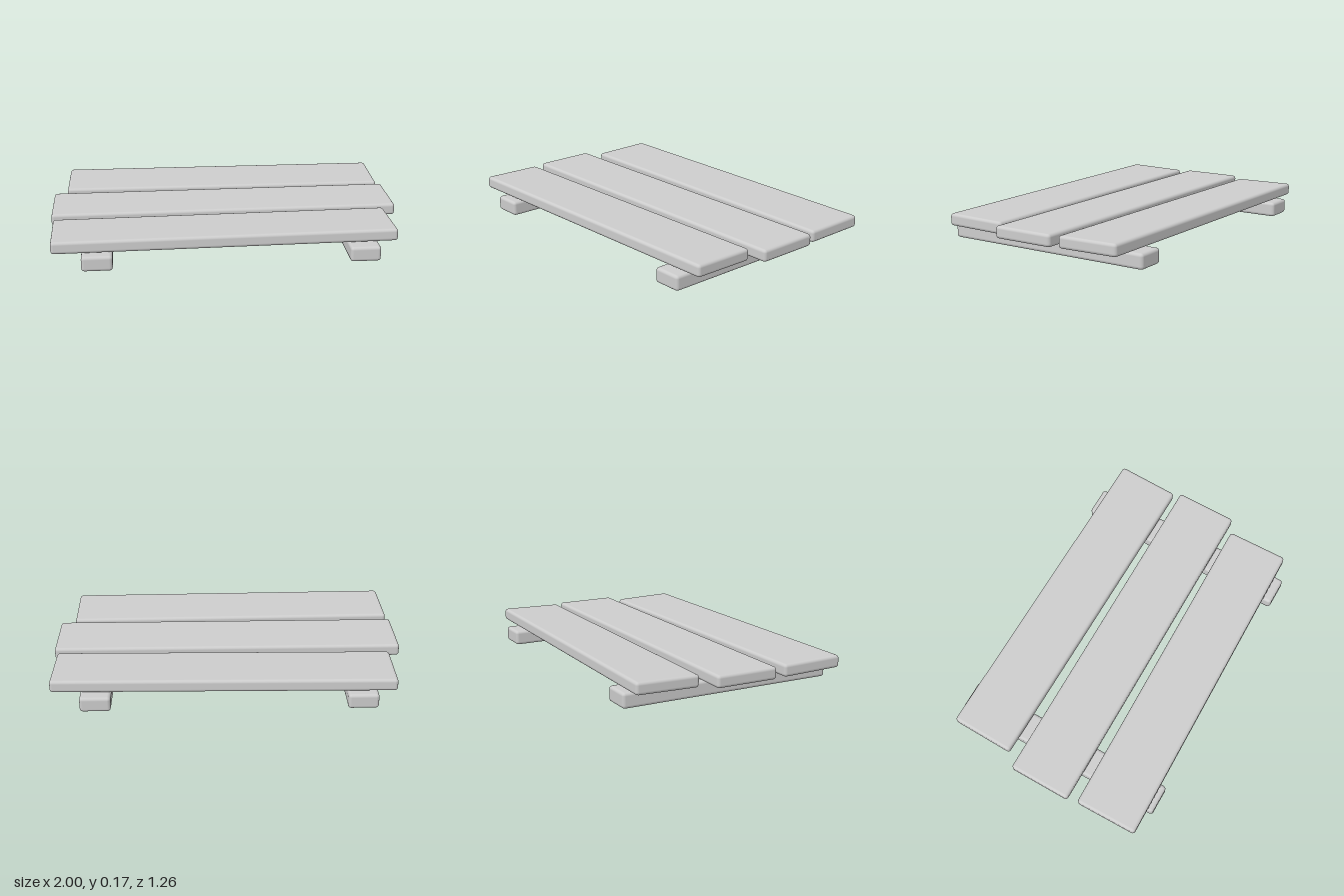
import * as THREE from 'three';
import { RoundedBoxGeometry } from 'three/addons/geometries/RoundedBoxGeometry.js';

export function createModel() {
  const model = new THREE.Group();
  model.name = 'plankPlatform';
  const grey = new THREE.MeshStandardMaterial({ color: 0xcccccc });
  grey.name = 'light grey';

  // A board with softly rounded edges
  const board = (name, size, position, tilt = 0, yaw = 0) => {
    const mesh = new THREE.Mesh(new RoundedBoxGeometry(...size, 2, 0.018), grey);
    mesh.name = name;
    mesh.position.set(...position);
    mesh.rotation.set(tilt, yaw, 0);
    model.add(mesh);
  };

  // Two bearers running front to back
  for (const [side, s] of [['left', 1], ['right', -1]]) {
    board(`${side}Bearer`, [0.17, 0.086, 1.264], [s * 0.735, 0.043, 0]);
  }

  // Three deck planks, the outer two slightly skewed and tilted
  board('middlePlank', [2, 0.07, 0.364], [0, 0.126, 0]);
  board('frontPlank', [1.905, 0.07, 0.364], [-0.031, 0.127, 0.41], -0.018, 0.014);
  board('backPlank', [1.905, 0.07, 0.364], [0.028, 0.127, -0.414], 0.018, -0.014);

  return model;
}
